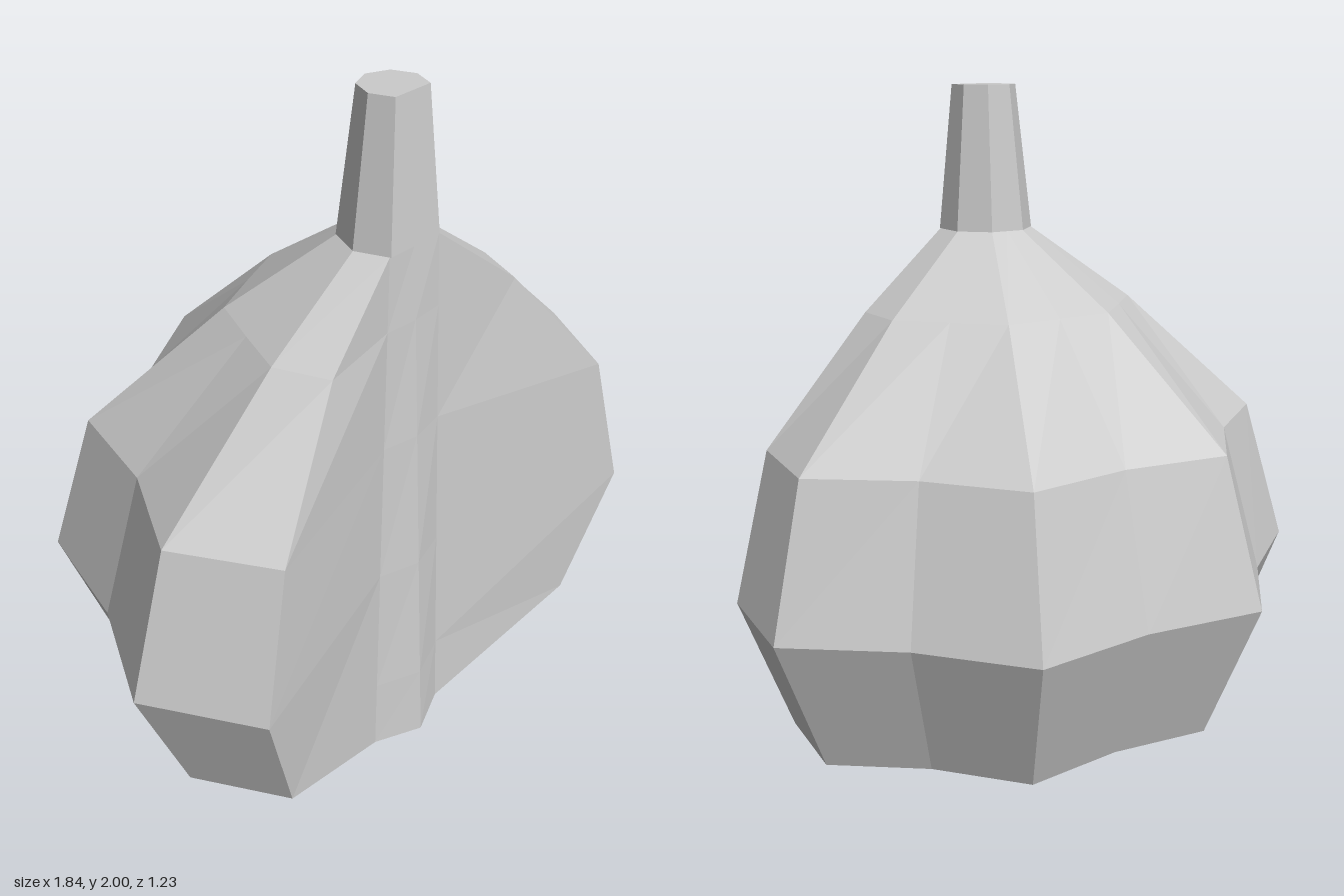
import * as THREE from 'three';

const AXIS_Z = 0.31;
const lerp = THREE.MathUtils.lerp;

// Point on a ring around the stalk axis; angle runs from +x towards the back
function polar(r, degrees, y) {
  const a = THREE.MathUtils.degToRad(degrees);
  return [r * Math.cos(a), y, AXIS_Z - r * Math.sin(a)];
}

// Flat-shaded solid through closed rings listed from bottom to top, capped at both ends
function loft(name, rings, material) {
  const pos = [];
  const tri = (a, b, c) => pos.push(...a, ...b, ...c);
  const n = rings[0].length;
  for (let k = 0; k < rings.length - 1; k++) {
    for (let i = 0; i < n; i++) {
      const j = (i + 1) % n;
      const lo = rings[k], hi = rings[k + 1];
      tri(lo[i], lo[j], hi[j]);
      tri(lo[i], hi[j], hi[i]);
    }
  }
  const first = rings[0], last = rings[rings.length - 1];
  for (let i = 0; i < n; i++) {
    const j = (i + 1) % n;
    tri([0, first[0][1], AXIS_Z], first[j], first[i]);
    tri([0, last[0][1], AXIS_Z], last[i], last[j]);
  }
  const geometry = new THREE.BufferGeometry();
  geometry.setAttribute('position', new THREE.Float32BufferAttribute(pos, 3));
  geometry.computeVertexNormals();
  const mesh = new THREE.Mesh(geometry, material);
  mesh.name = name;
  return mesh;
}

export function createModel() {
  const group = new THREE.Group();
  group.name = 'openGourd';
  const material = new THREE.MeshStandardMaterial({ color: 0xcccccc, flatShading: true });

  // Body levels: height, rib radius, groove radius
  const levels = [
    [0, 0.2, 0.185],
    [0.22, 0.75, 0.66],
    [0.62, 0.92, 0.81],
    [1.04, 0.8, 0.7],
    [1.39, 0.42, 0.39],
    [1.6, 0.13, 0.12],
  ];
  const bodyRings = levels.map(([y, rib, groove], k) => {
    const ring = [];
    // Ribbed skin around the sides and back
    for (let i = -1; i <= 9; i++) ring.push(polar(i % 2 ? groove : rib, i * 22.5, y));
    // Cut-away front: two walls folding in to a narrow core
    const t = y / 1.6;
    const x = lerp(0.14, 0.095, t), z = lerp(0.45, 0.4, t);
    ring.push([-x, y, z], [0, y, lerp(0.51, 0.4, t)], [x, y, z]);
    // Skin and walls meet at the base and at the neck
    if (k === 0 || k === levels.length - 1) {
      ring[0] = [x, y, z];
      ring[10] = [-x, y, z];
    }
    return ring;
  });
  group.add(loft('body', bodyRings, material));

  // Seven-sided stalk with a flat front
  const stalkRings = [[1.6, 0.132], [2, 0.09]].map(([y, r]) =>
    Array.from({ length: 7 }, (_, i) => polar(r, -45 + i * 45, y)));
  group.add(loft('stalk', stalkRings, material));

  return group;
}
